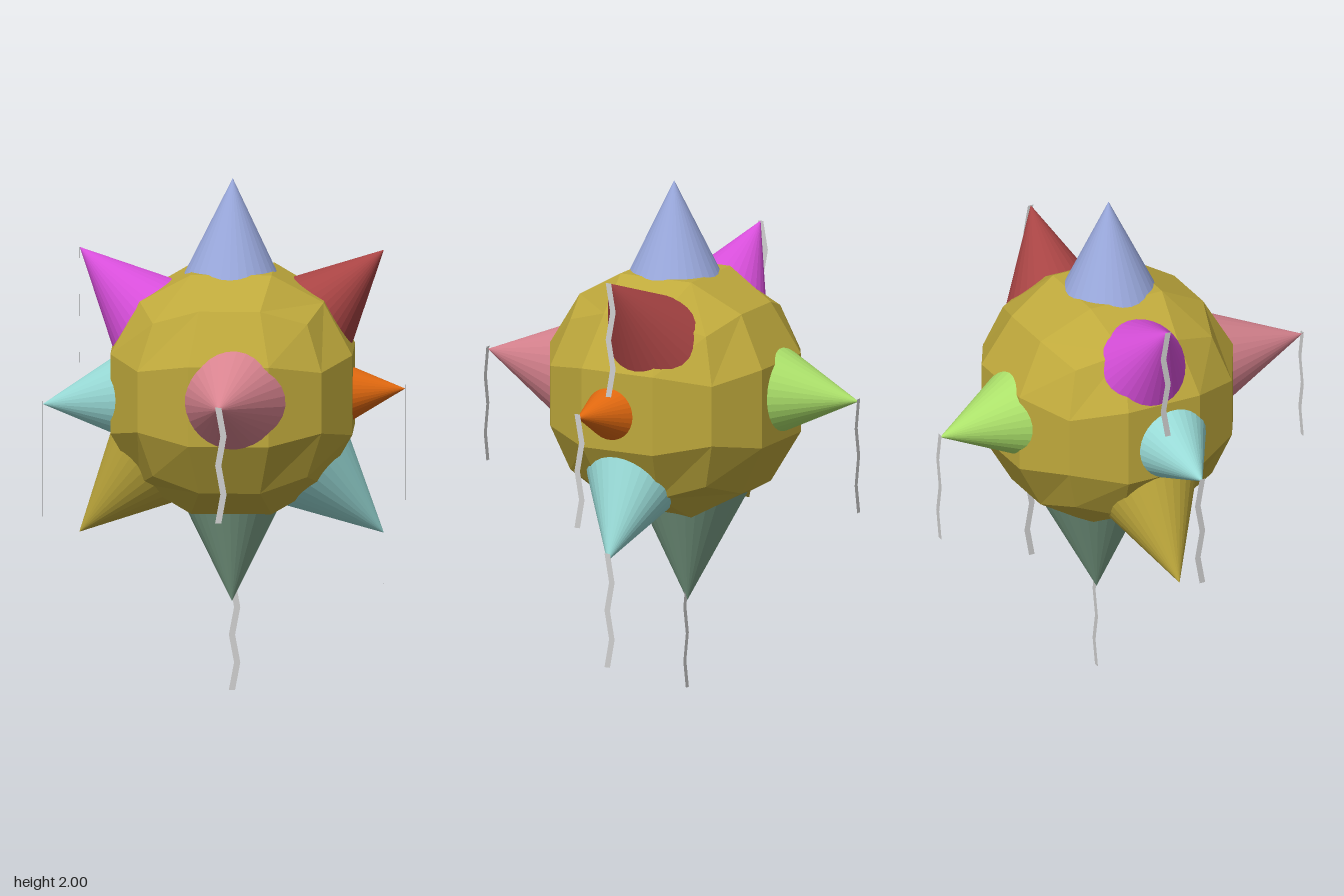
import * as THREE from 'three';

const mat = (name, color, opts = {}) => {
  const m = new THREE.MeshStandardMaterial({ color, flatShading: true, ...opts });
  m.name = name;
  return m;
};

export function createModel() {
  const group = new THREE.Group();
  const colors = {
    gold: mat('gold', 0xbfa93c),
    blue: mat('periwinkle', 0x9aa9dd),
    magenta: mat('magenta', 0xd94fdc),
    red: mat('brick red', 0xa84444),
    cyan: mat('pale cyan', 0x98dad6),
    orange: mat('orange', 0xe0680f),
    pink: mat('dusty pink', 0xd98490),
    green: mat('sage green', 0x80a68d),
    lime: mat('lime', 0xabe06a),
    ribbon: mat('light grey', 0xcfcfcf, { side: THREE.DoubleSide }),
  };

  const add = (name, geometry, material) => {
    const mesh = new THREE.Mesh(geometry, material);
    mesh.name = name;
    group.add(mesh);
    return mesh;
  };

  // faceted ball: a box grid pushed out to a sphere
  const ball = new THREE.BoxGeometry(1, 1, 1, 3, 3, 3);
  const p = ball.attributes.position;
  const v = new THREE.Vector3();
  for (let i = 0; i < p.count; i++) {
    v.fromBufferAttribute(p, i).setLength(0.514);
    p.setXYZ(i, v.x, v.y, v.z);
  }
  ball.computeVertexNormals();
  add('body', ball, colors.gold).position.set(0.03, 1.182, -0.035);

  // cone from a base centre to a tip, continued a little into the ball
  const cone = (name, material, base, tip, radius) => {
    const a = new THREE.Vector3(...base), b = new THREE.Vector3(...tip);
    const axis = b.clone().sub(a);
    const k = 1 + 0.06 / axis.length();
    const length = axis.length() * k;
    const mesh = add(name, new THREE.ConeGeometry(radius * k, length, 32), material);
    axis.normalize();
    mesh.quaternion.setFromUnitVectors(new THREE.Vector3(0, 1, 0), axis);
    mesh.position.copy(b).addScaledVector(axis, -length / 2);
  };

  // flat wavy streamer hanging from a point, turned sideways for the side cones
  const streamer = (name, [x, y, z], length, sideways) => {
    const g = new THREE.PlaneGeometry(0.024, length, 1, 8);
    const q = g.attributes.position;
    for (let i = 0; i < q.count; i++) {
      const t = 0.5 - q.getY(i) / length;
      q.setX(i, q.getX(i) + 0.01 * (1 - Math.cos(t * Math.PI * 4)));
    }
    g.translate(0, -length / 2, 0);
    const mesh = add(name, g, colors.ribbon);
    mesh.position.set(x, y, z);
    if (sideways) mesh.rotation.y = Math.PI / 2;
  };

  // name, material, base centre, tip, radius, streamer: [top y, length, sideways]
  const spikes = [
    ['top', colors.blue, [0.025, 1.64, -0.03], [0.03, 2, -0.03], 0.175, null],
    ['bottom', colors.green, [0.025, 0.75, -0.1], [0.025, 0.345, -0.085], 0.2, [0.43, 0.43, false]],
    ['front', colors.pink, [0.04, 1.205, 0.41], [0.005, 1.23, 0.8], 0.19, [1.24, 0.45, false]],
    ['back', colors.lime, [-0.015, 1.21, -0.48], [-0.04, 1.2, -0.8], 0.165, [1.21, 0.45, false]],
    ['left', colors.orange, [0.49, 1.175, 0.005], [0.695, 1.195, 0.03], 0.103, [1.21, 0.45, true]],
    ['right', colors.cyan, [-0.43, 1.15, 0.0], [-0.7, 1.12, -0.01], 0.145, [1.13, 0.45, true]],
    ['upperLeft', colors.red, [0.37, 1.48, -0.1], [0.61, 1.72, -0.06], 0.17, [1.72, 0.45, true]],
    ['upperRight', colors.magenta, [-0.32, 1.48, -0.065], [-0.56, 1.72, -0.085], 0.17, [1.72, 0.45, true]],
    ['lowerLeft', colors.cyan, [0.35, 0.87, -0.025], [0.61, 0.62, -0.055], 0.184, [0.65, 0.45, true]],
    ['lowerRight', colors.gold, [-0.305, 0.88, -0.03], [-0.56, 0.62, -0.035], 0.187, null],
  ];
  for (const [name, material, base, tip, radius, tail] of spikes) {
    cone(name + 'Cone', material, base, tip, radius);
    if (tail) streamer(name + 'Streamer', [tip[0], tail[0], tip[2]], tail[1], tail[2]);
  }

  return group;
}
